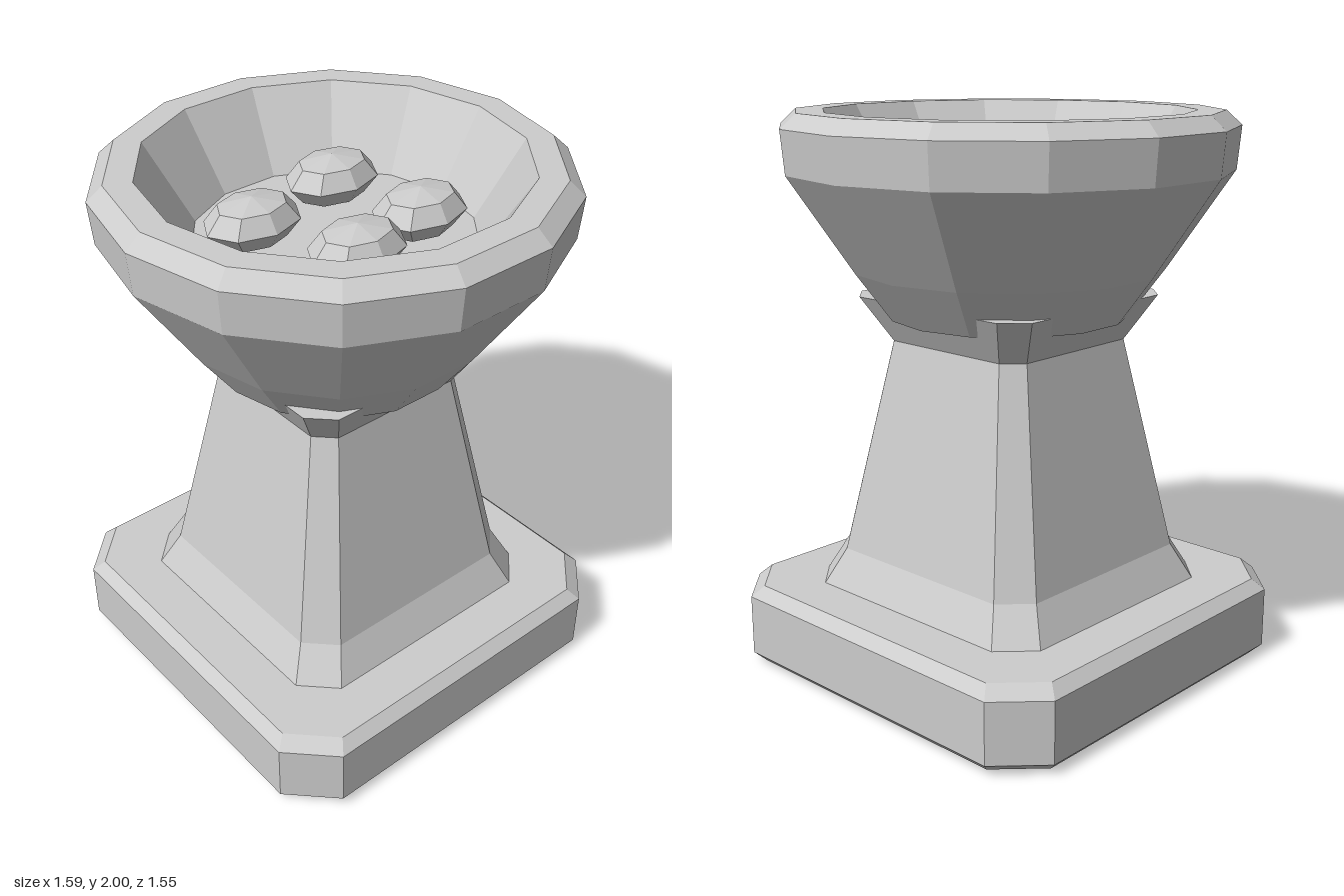
import * as THREE from 'three';

// Closed loft through chamfered-square rings: [y, half width, half length of flat side]
function chamferedLoft(rings) {
  const pos = [], idx = [];
  for (const [y, h, c] of rings) {
    // counter-clockwise seen from above
    const ring = [[h, c], [h, -c], [c, -h], [-c, -h], [-h, -c], [-h, c], [-c, h], [c, h]];
    for (const [x, z] of ring) pos.push(x, y, z);
  }
  for (let r = 0; r < rings.length - 1; r++) {
    for (let i = 0; i < 8; i++) {
      const a = r * 8 + i, b = r * 8 + (i + 1) % 8;
      idx.push(a, b, b + 8, a, b + 8, a + 8);
    }
  }
  const top = (rings.length - 1) * 8;
  for (let i = 1; i < 7; i++) {
    idx.push(0, i + 1, i);
    idx.push(top, top + i, top + i + 1);
  }
  const g = new THREE.BufferGeometry();
  g.setAttribute('position', new THREE.Float32BufferAttribute(pos, 3));
  g.setIndex(idx);
  const flat = g.toNonIndexed();
  flat.computeVertexNormals();
  return flat;
}

export function createModel() {
  const model = new THREE.Group();
  model.name = 'stonePedestalBowl';
  const stone = new THREE.MeshStandardMaterial({ color: 0xcccccc, flatShading: true });
  stone.name = 'stone grey';

  const add = (name, geometry) => {
    const mesh = new THREE.Mesh(geometry, stone);
    mesh.name = name;
    model.add(mesh);
    return mesh;
  };

  // Bevelled plinth
  add('base', chamferedLoft([
    [0, 0.705, 0.56], [0.04, 0.745, 0.59], [0.26, 0.745, 0.59], [0.3, 0.705, 0.56],
  ]));

  // Tapered column, flared at foot and head
  add('column', chamferedLoft([
    [0.29, 0.54, 0.425], [0.43, 0.47, 0.37], [1.2, 0.32, 0.255], [1.36, 0.41, 0.33],
  ]));

  // Fourteen-sided bowl: underside, outer wall, rim, inner wall, floor
  const profile = [
    [0, 1.29], [0.43, 1.29], [0.555, 1.46], [0.782, 1.8], [0.795, 1.95],
    [0.74, 2], [0.645, 2], [0.48, 1.73], [0, 1.73],
  ].map(([r, y]) => new THREE.Vector2(r, y));
  add('bowl', new THREE.LatheGeometry(profile, 14, Math.PI / 2));

  // Flattened pebbles resting in the bowl
  const pebbleGeometry = new THREE.SphereGeometry(1, 8, 4);
  [[-0.225, -0.152], [0.175, -0.228], [-0.08, 0.202], [0.24, 0.145]].forEach(([x, z], i) => {
    const pebble = add('pebble' + (i + 1), pebbleGeometry);
    pebble.scale.set(0.18, 0.085, 0.133);
    pebble.position.set(x, 1.8, z);
  });

  return model;
}
